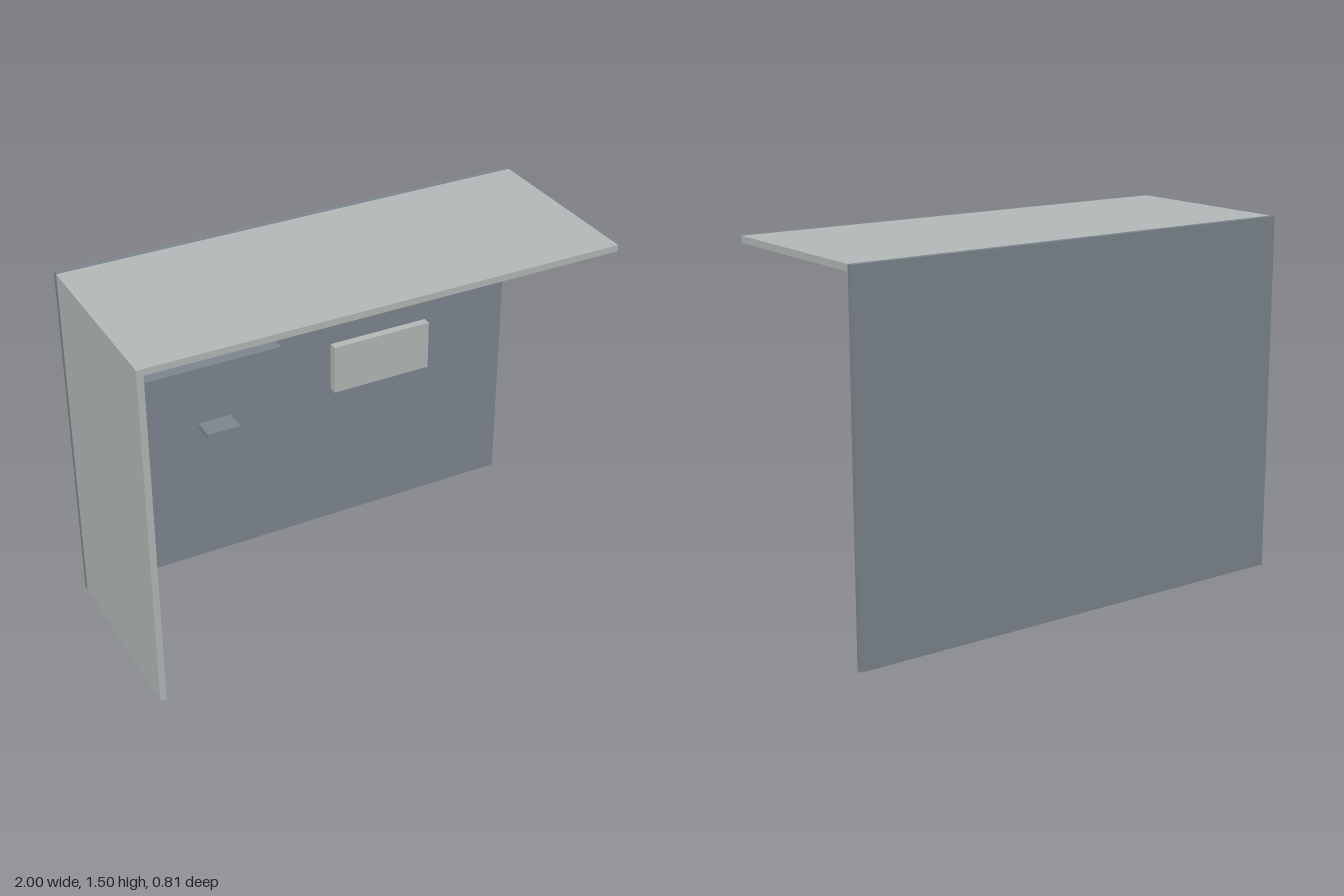
import * as THREE from 'three';

export function createModel() {
  const group = new THREE.Group();
  const material = (name, color) => {
    const m = new THREE.MeshStandardMaterial({ color });
    m.name = name;
    return m;
  };
  const paleGrey = material('paleGrey', 0xb2b8b7);
  const slate = material('slate', 0x7c858d);
  const green = material('green', 0x85a294);

  // Box given by its [min, max] extent on each axis
  const box = (name, mat, x, y, z) => {
    const mesh = new THREE.Mesh(
      new THREE.BoxGeometry(x[1] - x[0], y[1] - y[0], z[1] - z[0]), mat);
    mesh.position.set((x[0] + x[1]) / 2, (y[0] + y[1]) / 2, (z[0] + z[1]) / 2);
    mesh.name = name;
    group.add(mesh);
  };

  // Open room shell: back wall, one side wall and ceiling
  const back = -0.38, front = 0.405;
  box('backWall', slate, [-1, 1], [0, 1.5], [-0.405, back]);
  box('sideWall', paleGrey, [-1, -0.973], [0, 1.473], [back, front]);
  box('ceiling', paleGrey, [-1, 1], [1.473, 1.5], [back, front]);

  // Units fixed to the back wall
  box('wallCabinet', slate, [-0.83, -0.178], [0.885, 1.072], [-0.163, back].reverse());
  box('paleUpperUnit', paleGrey, [-0.797, -0.51], [1.222, 1.381], [back, -0.18]);
  box('slateUpperUnit', slate, [-0.43, -0.256], [1.28, 1.399], [back, -0.197]);
  box('greenUpperUnit', green, [0.523, 0.77], [1.285, 1.42], [back, -0.188]);

  // Floating panels and small shelf
  box('upperPanel', paleGrey, [-0.065, 0.161], [1.275, 1.405], [-0.155, -0.12]);
  box('displayPanel', paleGrey, [0.075, 0.518], [0.77, 0.984], [-0.223, -0.188]);
  box('smallShelf', slate, [-0.574, -0.434], [0.841, 0.865], [-0.101, -0.008]);

  // Flat panel hung just under the ceiling
  box('ceilingPanel', green, [0.172, 0.622], [1.451, 1.462], [-0.061, 0.175]);

  return group;
}
